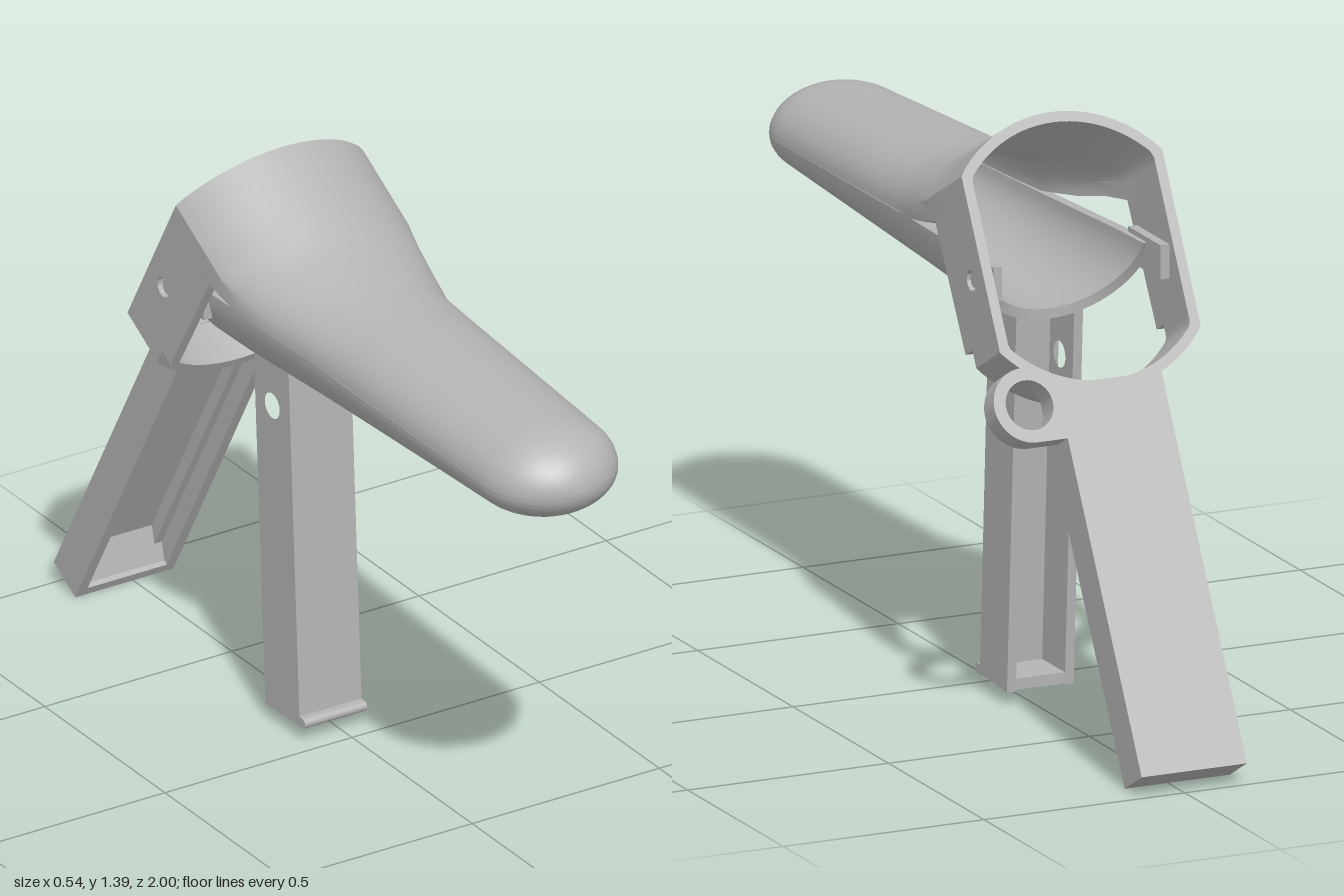
import * as THREE from 'three';
import { toCreasedNormals } from 'three/addons/utils/BufferGeometryUtils.js';

const CX = -0.023;             // centre line of the body
const TILT = 0.51;             // lean of the collar and its handle
const TOP = { y: 1.395, z: -0.25 };
const WALL = 0.024;
const N = 32;                  // steps across a shell section

export function createModel() {
  const model = new THREE.Group();
  model.name = 'hingedInstrument';
  const grey = new THREE.MeshStandardMaterial({ color: 0xb4b4b4 });
  grey.name = 'grey plastic';

  const add = (parent, name, geo, x = 0, y = 0, z = 0) => {
    const m = new THREE.Mesh(geo, grey);
    m.name = name;
    m.position.set(x, y, z);
    parent.add(m);
    return m;
  };
  const box = (parent, name, x0, x1, y0, y1, z0, z1) =>
    add(parent, name, new THREE.BoxGeometry(x1 - x0, y1 - y0, z1 - z0),
      (x0 + x1) / 2, (y0 + y1) / 2, (z0 + z1) / 2);
  const extrude = (shape, depth) => toCreasedNormals(
    new THREE.ExtrudeGeometry(shape, { depth, bevelEnabled: false, curveSegments: 24 }), 0.5);
  // plate drawn in (z, y), thickness along x, centred on x = 0
  const sidePlate = (points, hole, thick) => {
    const shape = new THREE.Shape(points.map(([z, y]) => new THREE.Vector2(-z, y)));
    shape.holes.push(new THREE.Path().absarc(-hole[0], hole[1], hole[2], 0, Math.PI * 2, true));
    return extrude(shape, thick).translate(0, 0, -thick / 2).rotateY(Math.PI / 2);
  };

  // Tilted collar outline: a circle with its two sides cut flat
  const collarPoint = (a, inset) => {
    const r = 0.325 - inset, w = 0.25 - inset;
    return new THREE.Vector2(THREE.MathUtils.clamp(r * Math.sin(a), -w, w), r * Math.cos(a) - 0.325);
  };

  // Shell wall from section rows; each row gives a point for s in [-1, 1]
  const shell = (rows, dir) => {
    const M = 2 * (N + 1), pos = [], idx = [];
    rows.forEach((row) => {
      for (let i = 0; i < M; i++) {
        const inner = i > N;
        const s = dir * (-1 + 2 * (inner ? M - 1 - i : i) / N);
        pos.push(...row(s, inner ? WALL : 0));
      }
    });
    for (let r = 0; r < rows.length - 1; r++) {
      for (let i = 0; i < M; i++) {
        const a = r * M + i, b = r * M + (i + 1) % M;
        idx.push(a, a + M, b, b, a + M, b + M);
      }
    }
    for (let i = 0; i < N; i++) {
      const n = M - 1 - i;
      idx.push(i, i + 1, n, i + 1, n - 1, n);
    }
    const g = new THREE.BufferGeometry();
    g.setAttribute('position', new THREE.Float32BufferAttribute(pos, 3));
    g.setIndex(idx);
    return toCreasedNormals(g, 0.6);
  };
  // half-ellipse section: width, crown y and z, edge y and z
  const arcRow = (w, yc, zc, ye, ze) => (s, t) => {
    const a = s * Math.PI / 2, h = yc - ye, k = Math.cos(a);
    const hh = Math.sign(h) * Math.max(Math.abs(h) - t, 0);
    const z = ze + (zc - ze) * k;
    return [CX + Math.max(w - t, 0) * Math.sin(a), ye + hh * k, t ? Math.min(z, 0.97) : z];
  };
  // section lying in the tilted collar
  const collarRow = (zCrown, zEdge) => (s, t) => {
    const p = collarPoint(1.09 * s, t);
    const z = zCrown + (zEdge - zCrown) * s * s;
    return [CX + p.x,
      TOP.y + p.y * Math.cos(TILT) - z * Math.sin(TILT),
      TOP.z + p.y * Math.sin(TILT) + z * Math.cos(TILT)];
  };
  const tip = (crown) => {
    const rows = [];
    for (let i = 0; i <= 10; i++) {
      const q = i / 10 * Math.PI / 2, c = Math.cos(q), z = 0.83 + 0.17 * Math.sin(q);
      rows.push(arcRow(0.17 * c, 1.06 + (crown - 1.06) * c, z, 1.06, z));
    }
    return rows;
  };

  // Upper blade flaring into the collar
  add(model, 'upperBlade', shell([
    collarRow(0, 0), collarRow(0.14, 0.1), collarRow(0.27, 0.19),
    arcRow(0.244, 1.248, 0.02, 1.125, -0.08),
    arcRow(0.22, 1.232, 0.09, 1.1, 0.03),
    arcRow(0.192, 1.211, 0.18, 1.083, 0.15),
    arcRow(0.186, 1.205, 0.3, 1.078, 0.28),
    ...tip(1.176)], 1));

  // Lower blade
  add(model, 'lowerBlade', shell([
    arcRow(0.212, 0.908, -0.24, 1.088, -0.34),
    arcRow(0.205, 0.905, -0.15, 1.088, -0.2),
    arcRow(0.19, 0.918, 0.1, 1.081, 0.1),
    ...tip(0.962)], -1));

  // Hinge ears and pins
  for (const s of [-1, 1]) {
    const ear = box(model, 'hingeEar', -0.011, 0.011, 1.02, 1.1, -0.41, -0.24);
    ear.position.x = CX + s * 0.208;
    add(model, 'hingePin', new THREE.CylinderGeometry(0.018, 0.018, 0.04, 24).rotateZ(Math.PI / 2),
      CX + s * 0.222, 1.06, -0.357);
  }

  // Tilted collar and rear handle
  const rear = new THREE.Group();
  rear.name = 'collarAndRearHandle';
  rear.position.set(CX, TOP.y, TOP.z);
  rear.rotation.x = TILT;
  model.add(rear);

  const arc = [], back = [];
  for (let i = 0; i <= 40; i++) {
    const a = 2.104 + (Math.PI * 2 - 4.208) * i / 40;
    arc.push(collarPoint(a, 0));
    back.unshift(collarPoint(a, WALL));
  }
  add(rear, 'collarBottom', extrude(new THREE.Shape([...arc, ...back]), 0.142));
  for (const s of [-1, 1]) {
    add(rear, 'collarSide', sidePlate(
      [[0, -0.17], [0.19, -0.17], [0.183, -0.49], [0, -0.49]], [0.067, -0.346, 0.024], WALL),
      s * (0.25 - WALL / 2));
  }

  // Channel-shaped rear handle, open at the front
  box(rear, 'rearHandleBack', -0.131, 0.131, -1.54, -0.622, 0, 0.03);
  box(rear, 'rearHandleEnd', -0.131, 0.131, -1.54, -1.515, 0.03, 0.103);
  for (const s of [-1, 1]) {
    box(rear, 'rearHandleSide', -0.0125, 0.0125, -1.515, -0.622, 0.03, 0.103).position.x = s * 0.1185;
    box(rear, 'rearHandleLedge', -0.01, 0.01, -1.515, -0.64, 0.03, 0.06).position.x = s * 0.096;
  }
  // sloped inner end
  const slope = new THREE.Shape([[-0.03, -1.515], [-0.09, -1.515], [-0.03, -1.45]]
    .map((p) => new THREE.Vector2(...p)));
  add(rear, 'rearHandleSlope', extrude(slope, 0.212).translate(0, 0, -0.106).rotateY(Math.PI / 2));

  // Eyelet beside the collar
  const ex = 0.206, ey = -0.66, er = 0.087;
  const eye = new THREE.Shape();
  eye.moveTo(0.12, ey - er);
  eye.lineTo(ex, ey - er);
  eye.absarc(ex, ey, er, -Math.PI / 2, Math.PI, false);
  eye.lineTo(0.12, ey - er);
  eye.holes.push(new THREE.Path().absarc(ex, ey, 0.058, 0, Math.PI * 2, true));
  add(rear, 'eyelet', extrude(eye, 0.058));

  // Front handle under the lower blade, open at the back
  const front = new THREE.Group();
  front.name = 'frontHandle';
  front.position.x = CX;
  model.add(front);
  for (const s of [-1, 1]) {
    add(front, 'frontHandleSide', sidePlate(
      [[-0.1, 0.93], [-0.245, 0.93], [-0.195, 0.03], [-0.053, 0.038]], [-0.167, 0.798, 0.031], 0.022),
      s * 0.072);
  }
  const wall = box(front, 'frontHandleFace', -0.083, 0.083, -0.44, 0.44, -0.011, 0.011);
  wall.position.set(0, 0.478, -0.0875);
  wall.rotation.x = -0.0526;
  box(front, 'frontHandleFloor', -0.07, 0.07, 0.034, 0.06, -0.195, -0.06);
  box(front, 'frontHandleLip', -0.083, 0.083, 0.035, 0.059, -0.07, -0.042);
  add(front, 'frontHandleLipEdge',
    new THREE.CylinderGeometry(0.012, 0.012, 0.166, 20).rotateZ(Math.PI / 2), 0, 0.047, -0.042);

  return model;
}
